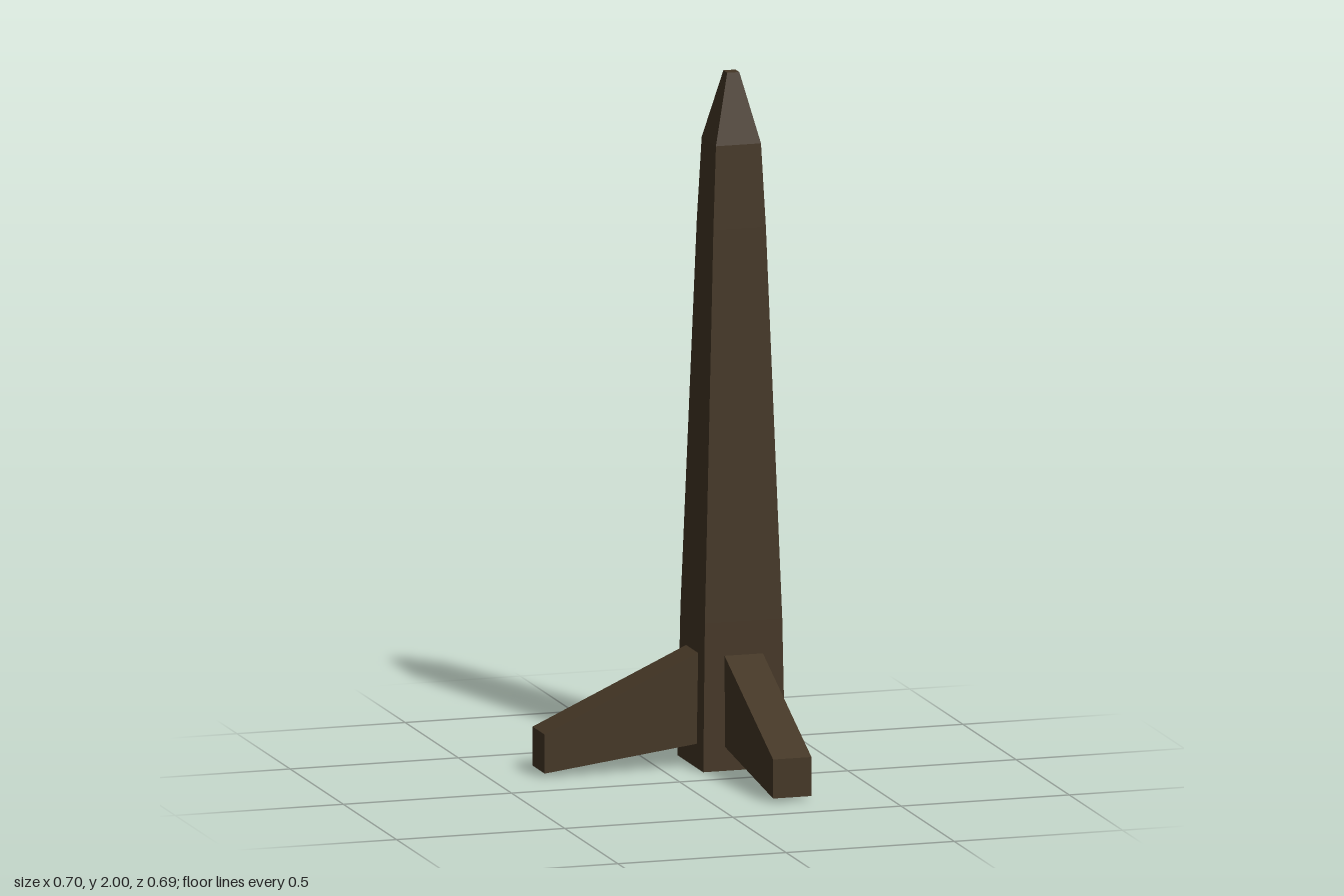
import * as THREE from 'three';

const darkBrown = new THREE.MeshStandardMaterial({ color: 0x443625, flatShading: true });
darkBrown.name = 'darkBrown';

// Square tapering column, closed at both ends: [half width, height]
function makeColumn() {
  const profile = [
    [0, 0], [0.122, 0], [0.115, 0.43], [0.078, 1.56], [0.067, 1.8], [0.018, 2], [0, 2],
  ].map(([half, y]) => new THREE.Vector2(half * Math.SQRT2, y));
  const column = new THREE.Mesh(new THREE.LatheGeometry(profile, 4, Math.PI / 4), darkBrown);
  column.name = 'column';
  return column;
}

// Thick swept fin pointing along -x
function makeFin(name, turn) {
  const side = new THREE.Shape([
    [-0.115, 0.07], [-0.115, 0.333], [-0.573, 0.125], [-0.573, 0.012],
  ].map(([x, y]) => new THREE.Vector2(x, y)));
  const width = 0.114;
  const geometry = new THREE.ExtrudeGeometry(side, { depth: width, bevelEnabled: false });
  geometry.translate(0, 0, -width / 2);
  const fin = new THREE.Mesh(geometry, darkBrown);
  fin.name = name;
  fin.rotation.y = turn;
  return fin;
}

export function createModel() {
  const model = new THREE.Group();
  model.name = 'finnedSpire';

  // The column stands in the back left corner, the fins reach right and forward
  const spire = new THREE.Group();
  spire.name = 'spire';
  spire.position.set(0.225, 0, -0.226);
  spire.add(makeColumn(), makeFin('rightFin', 0), makeFin('frontFin', Math.PI / 2));
  model.add(spire);
  return model;
}
